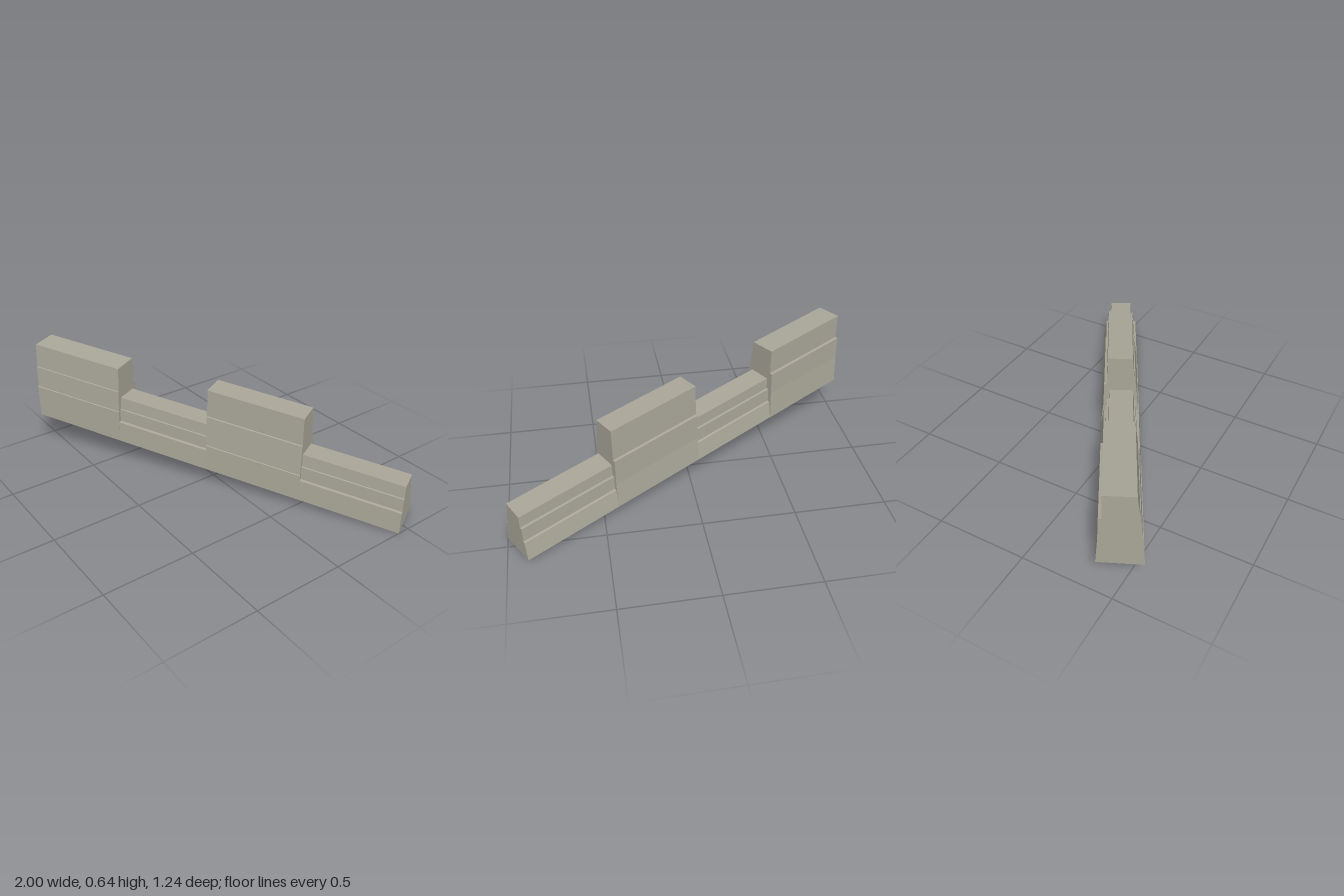
import * as THREE from 'three';

export function createModel() {
  const group = new THREE.Group();
  const stone = new THREE.MeshStandardMaterial({ color: 0xaaa799 });
  stone.name = 'grey stone';

  // The wall runs diagonally and downhill from its left-hand end
  const start = new THREE.Vector3(-0.9, 0.202, 0.615);
  const along = new THREE.Vector3(0.475, -0.05, -0.262);
  const back = new THREE.Vector3(-0.465, 0.07, -0.883);
  const up = new THREE.Vector3(-0.02, 1, 0);

  // Stepped cross-sections as [depth from front, height], front to back
  const highFirst = [
    [0, 0], [0.006, 0.18], [0.01, 0.182], [0.018, 0.3], [0.022, 0.302], [0.034, 0.434],
    [0.184, 0.428], [0.188, 0.288], [0.204, 0.285], [0.21, 0.16], [0.224, 0],
  ];
  const highSecond = [
    [0, 0], [0.006, 0.145], [0.01, 0.147], [0.024, 0.312], [0.03, 0.314], [0.038, 0.464],
    [0.172, 0.458], [0.182, 0.285], [0.196, 0.282], [0.204, 0.14], [0.222, 0],
  ];
  const low = [
    [0, 0], [0.007, 0.115], [0.022, 0.117], [0.026, 0.187], [0.034, 0.188], [0.04, 0.255],
    [0.168, 0.245], [0.172, 0.182], [0.186, 0.18], [0.19, 0.104], [0.202, 0.1], [0.222, 0],
  ];

  const addSection = (name, profile, index) => {
    const shape = new THREE.Shape(profile.map(([d, h]) => new THREE.Vector2(d, h)));
    const geometry = new THREE.ExtrudeGeometry(shape, { depth: 1, bevelEnabled: false });
    const origin = start.clone().addScaledVector(along, index);
    geometry.applyMatrix4(new THREE.Matrix4().makeBasis(back, up, along).setPosition(origin));
    geometry.computeVertexNormals();
    const mesh = new THREE.Mesh(geometry, stone);
    mesh.name = name;
    group.add(mesh);
  };

  // Alternating merlons and crenels
  addSection('endMerlon', highFirst, 0);
  addSection('middleCrenel', low, 1);
  addSection('middleMerlon', highSecond, 2);
  addSection('endCrenel', low, 3);

  return group;
}
